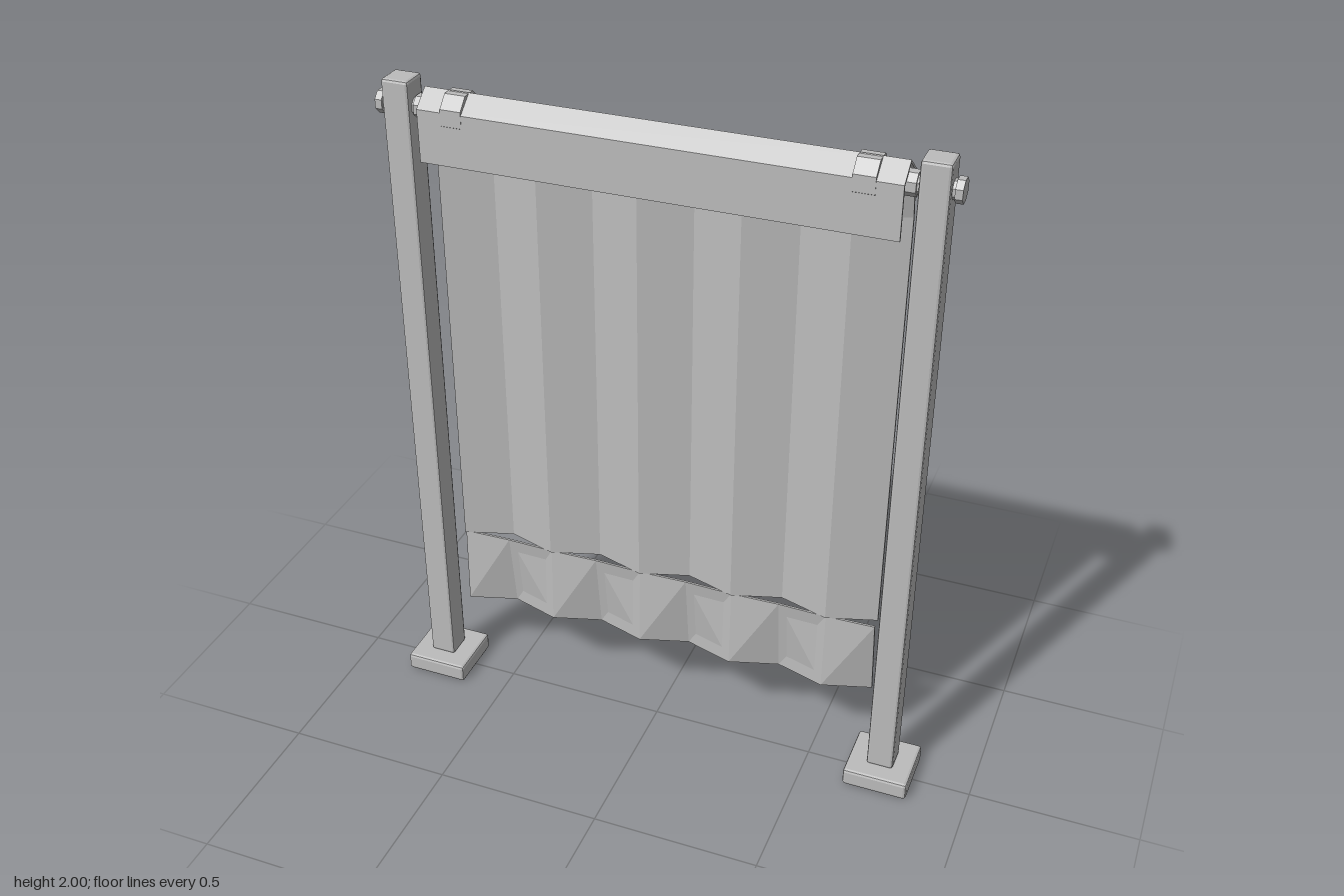
import * as THREE from 'three';
import { RoundedBoxGeometry } from 'three/addons/geometries/RoundedBoxGeometry.js';

const HALF = 0.66, COLS = 9, ROD_Y = 1.922, THICK = 0.007;

export function createModel() {
  const group = new THREE.Group();
  const grey = new THREE.MeshStandardMaterial({ color: 0xbcbcbc, side: THREE.DoubleSide });
  grey.name = 'plain grey';

  // Every mesh is faceted
  const add = (name, geometry, x = 0, y = 0, z = 0) => {
    const flat = geometry.index ? geometry.toNonIndexed() : geometry;
    flat.computeVertexNormals();
    const mesh = new THREE.Mesh(flat, grey);
    mesh.name = name;
    mesh.position.set(x, y, z);
    group.add(mesh);
    return mesh;
  };
  const chamferBox = (w, h, d, r) => new RoundedBoxGeometry(w, h, d, 1, r);
  const rodPiece = (radius, length) =>
    new THREE.CylinderGeometry(radius, radius, length, 8).rotateY(Math.PI / 8).rotateZ(Math.PI / 2);

  // Pleated cloth: rows are [y, z at even folds, z at odd folds]
  const pleats = (rows, crossed) => {
    const pos = [], idx = [], n = COLS + 1, m = rows.length;
    const layers = [0, -THICK];
    for (const offset of layers)
      for (const [y, even, odd] of rows)
        for (let i = 0; i < n; i++)
          pos.push(-HALF + (2 * HALF * i) / COLS, y, (i % 2 ? odd : even) + offset);
    const quad = (a, b, c, d) => idx.push(a, b, c, a, c, d);
    for (let side = 0; side < 2; side++)
      for (let r = 0; r < m - 1; r++)
        for (let i = 0; i < COLS; i++) {
          const tl = (side * m + r) * n + i, tr = tl + 1, bl = tl + n, br = bl + 1;
          if (side === 0) quad(bl, br, tr, tl);
          else if (crossed) quad(br, bl, tl, tr);
          else quad(bl, tl, tr, br);
        }
    // Close top, bottom and side edges
    const back = m * n, last = (m - 1) * n;
    for (let i = 0; i < COLS; i++) {
      quad(i, i + 1, back + i + 1, back + i);
      quad(last + i + 1, last + i, back + last + i, back + last + i + 1);
    }
    for (let r = 0; r < m - 1; r++) {
      const a = r * n, b = a + n, c = a + COLS, d = b + COLS;
      quad(a, back + a, back + b, b);
      quad(d, back + d, back + c, c);
    }
    const geometry = new THREE.BufferGeometry();
    geometry.setAttribute('position', new THREE.Float32BufferAttribute(pos, 3));
    geometry.setIndex(idx);
    return geometry;
  };

  // Posts, feet and rod fittings, mirrored
  for (const [side, s] of [['left', 1], ['right', -1]]) {
    add(side + 'Foot', chamferBox(0.195, 0.056, 0.19, 0.009), s * 0.73, 0.028);
    add(side + 'Post', chamferBox(0.08, 1.944, 0.082, 0.008), s * 0.73, 1.028);
    add(side + 'RodKnob', rodPiece(0.034, 0.02), s * 0.788, ROD_Y);
    add(side + 'RodCollar', rodPiece(0.034, 0.03), s * 0.668, ROD_Y);
    add(side + 'RodRing', rodPiece(0.0605, 0.06), s * 0.56, ROD_Y);
  }
  add('rod', rodPiece(0.027, 1.59), 0, ROD_Y);

  // Cloth folded over the rod, with a short front flap
  const fold = new THREE.Shape([
    [0.055, 1.785], [0.055, 1.935], [0, 1.98], [-0.06, 1.935],
    [-0.053, 1.932], [0, 1.972], [0.048, 1.932], [0.048, 1.785],
  ].map(([z, y]) => new THREE.Vector2(-z, y)));
  const foldGeometry = new THREE.ExtrudeGeometry(fold, { depth: 2 * HALF, bevelEnabled: false });
  foldGeometry.translate(0, 0, -HALF).rotateY(Math.PI / 2);
  add('topFoldAndFlap', foldGeometry);

  // Hanging panel gathers into pleats below the rod
  add('hangingPanel', pleats([[1.935, -0.053, -0.053], [1.79, -0.038, -0.083], [0.5, -0.038, -0.083]], false));
  // Creased hem spreads from a nearly straight top edge
  add('creasedHem', pleats([[0.5, -0.045, -0.049], [0.243, -0.038, -0.083]], true));

  return group;
}
